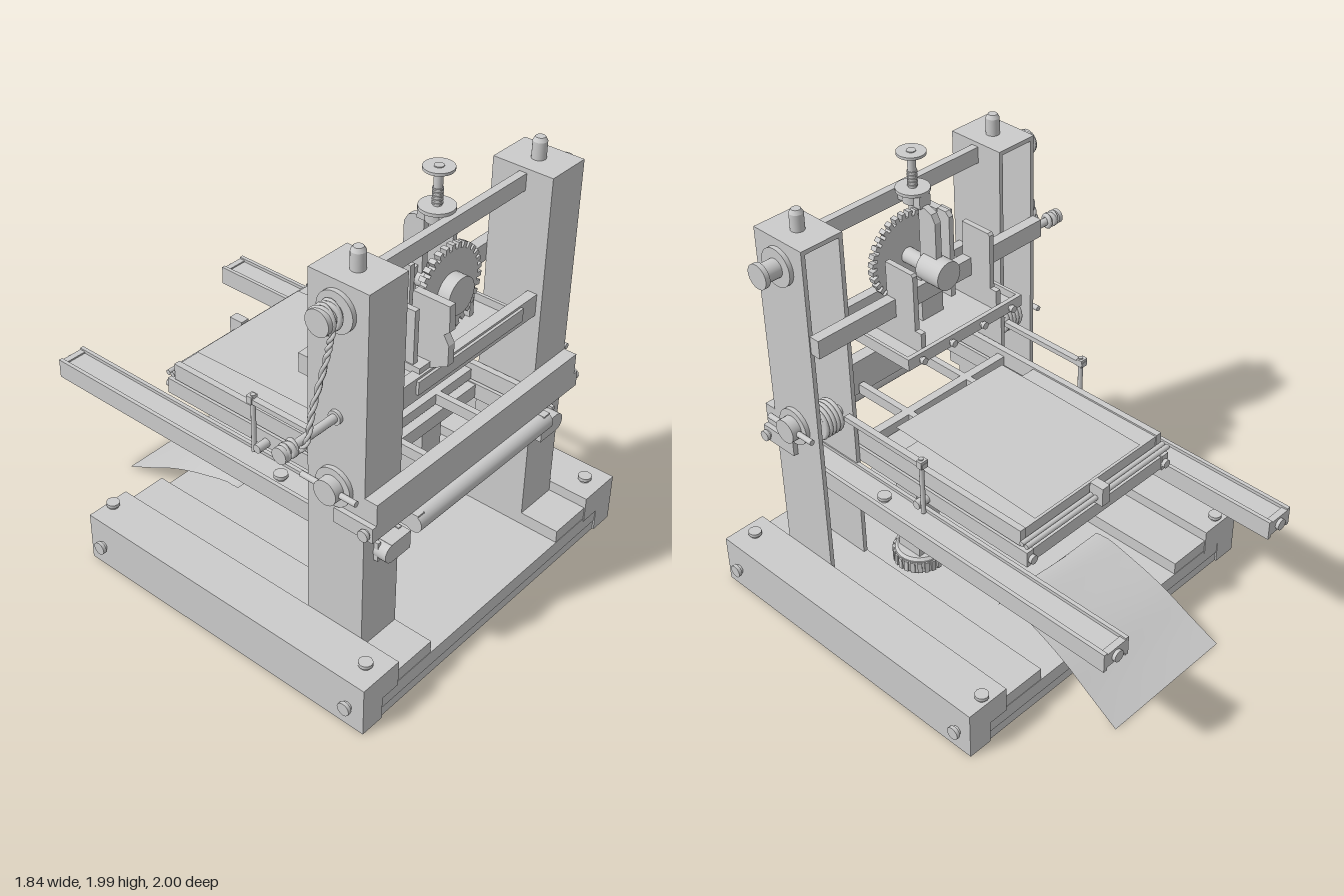
import * as THREE from 'three';

const mat = new THREE.MeshStandardMaterial({ color: 0xcccccc, side: THREE.DoubleSide });
const V = (x, y, z) => new THREE.Vector3(x, y, z);

export function createModel() {
  const root = new THREE.Group();
  root.name = 'press';
  // the machine is symmetric about x = 0.035
  const g = new THREE.Group();
  g.name = 'machine';
  g.position.x = 0.035;
  root.add(g);

  const add = (name, geo) => {
    const m = new THREE.Mesh(geo, mat);
    m.name = name;
    g.add(m);
    return m;
  };
  // box from its extents
  const box = (name, x0, x1, y0, y1, z0, z1) => {
    const m = add(name, new THREE.BoxGeometry(x1 - x0, y1 - y0, z1 - z0));
    m.position.set((x0 + x1) / 2, (y0 + y1) / 2, (z0 + z1) / 2);
    return m;
  };
  // cylinder between two points
  const rod = (name, a, b, r, sides = 24, r2 = r) => {
    const d = b.clone().sub(a);
    const m = add(name, new THREE.CylinderGeometry(r2, r, d.length(), sides));
    m.position.copy(a).add(b).multiplyScalar(0.5);
    m.quaternion.setFromUnitVectors(V(0, 1, 0), d.normalize());
    return m;
  };
  const bolt = (name, p, dir, r = 0.03) => {
    rod(name + 'Shank', p, p.clone().addScaledVector(dir, 0.012), r * 0.7, 16);
    rod(name + 'Head', p.clone().addScaledVector(dir, 0.012), p.clone().addScaledVector(dir, 0.028), r, 12);
  };
  // outline in (z, y), thickened along x
  const sidePlate = (name, x, t, pts) => {
    const s = new THREE.Shape(pts.map(([z, y]) => new THREE.Vector2(-z, y)));
    const m = add(name, new THREE.ExtrudeGeometry(s, { depth: t, bevelEnabled: false }));
    m.rotation.y = Math.PI / 2;
    m.position.x = x - t / 2;
  };

  // Base: thin floor with end boards, hollow underneath
  box('floor', -0.645, 0.645, 0.115, 0.13, -0.52, 0.985);
  box('frontBoard', -0.74, 0.74, 0.06, 0.13, 0.975, 0.997);
  box('frontSkirt', -0.84, 0.84, 0.008, 0.06, 0.975, 0.992);
  box('backBoard', -0.74, 0.74, 0.06, 0.13, -0.532, -0.515);
  box('backSkirt', -0.84, 0.84, 0.008, 0.06, -0.527, -0.515);

  for (const s of [-1, 1]) {
    const mx = (name, a, b, ...r) => box(name, Math.min(s * a, s * b), Math.max(s * a, s * b), ...r);
    const out = V(s, 0, 0);

    // Base beams with bolts
    mx('baseBeam', 0.645, 0.855, 0.115, 0.24, -0.535, 1);
    mx('baseBeamSkirt', 0.84, 0.855, 0.008, 0.115, -0.535, 1);
    mx('baseBeamEnd', 0.74, 0.84, 0.008, 0.115, 0.98, 1);
    mx('baseBeamEnd', 0.74, 0.84, 0.008, 0.115, -0.535, -0.515);
    mx('basePlank', 0.435, 0.645, 0.13, 0.19, -0.53, 0.995);
    for (const [zt, zs] of [[0.92, 0.92], [-0.5, -0.46]]) {
      bolt('baseTopBolt', V(s * 0.75, 0.24, zt), V(0, 1, 0));
      bolt('baseSideBolt', V(s * 0.855, 0.11, zs), out);
    }

    // Column, a channel open at the back
    mx('columnFront', 0.435, 0.645, 0.19, 1.84, 0.79, 0.81);
    mx('columnOuterWall', 0.625, 0.645, 0.19, 1.84, 0.53, 0.79);
    mx('columnInnerWall', 0.435, 0.455, 0.19, 1.84, 0.53, 0.79);
    mx('columnCap', 0.455, 0.625, 1.82, 1.84, 0.53, 0.79);
    rod('columnKnob', V(s * 0.54, 1.84, 0.67), V(s * 0.54, 1.915, 0.67), 0.03);
    rod('columnKnobTip', V(s * 0.54, 1.915, 0.67), V(s * 0.54, 1.932, 0.67), 0.03, 24, 0.02);

    // Spool wheels on the column sides
    for (const y of [1.72, 0.94]) {
      rod('spoolFlange', V(s * 0.645, y, 0.67), V(s * 0.665, y, 0.67), 0.085, 32);
    }
    rod('upperSpool', V(s * 0.66, 1.72, 0.67), V(s * 0.745, 1.72, 0.67), 0.042);
    rod('upperSpoolRim', V(s * 0.735, 1.72, 0.67), V(s * 0.757, 1.72, 0.67), 0.055);
    rod('crankHub', V(s * 0.66, 0.94, 0.67), V(s * 0.71, 0.94, 0.67), 0.055);
    rod('crankBar', V(s * 0.68, 0.94, 0.53), V(s * 0.68, 0.94, 0.8), 0.013, 12);
    // ribbed reel in the channel
    rod('reelShaft', V(s * 0.455, 0.94, 0.62), V(s * 0.625, 0.94, 0.62), 0.025);
    rod('reel', V(s * 0.49, 0.94, 0.62), V(s * 0.59, 0.94, 0.62), 0.07, 20);
    for (let i = 0; i < 5; i++) {
      const t = add('reelRib', new THREE.TorusGeometry(0.07, 0.01, 8, 24));
      t.rotation.y = Math.PI / 2;
      t.position.set(s * (0.5 + i * 0.02), 0.94, 0.62);
    }

    // Apron end bracket
    mx('apronBracket', 0.645, 0.668, 0.78, 0.85, 0.68, 0.87);
    bolt('apronBolt', V(s * 0.665, 0.815, 0.84), out, 0.025);

    // Long rail, a shallow channel with end blocks
    mx('railCore', 0.46, 0.565, 0.62, 0.685, -0.97, 0.83);
    mx('railOuterLip', 0.565, 0.583, 0.61, 0.70, -0.985, 0.83);
    mx('railInnerLip', 0.442, 0.46, 0.61, 0.70, -0.985, 0.83);
    mx('railNose', 0.435, 0.55, 0.61, 0.695, 0.81, 0.87);
    rod('railNoseRound', V(s * 0.545, 0.652, 0.81), V(s * 0.545, 0.652, 0.87), 0.042);
    mx('railEndBlock', 0.46, 0.565, 0.625, 0.692, -0.985, -0.955);
    rod('railEndBolt', V(s * 0.512, 0.655, -0.98), V(s * 0.512, 0.655, -1), 0.026, 12);
    bolt('railTopBolt', V(s * 0.525, 0.685, 0.28), V(0, 1, 0));

    // Pull arm with a hanging link
    mx('pullArm', 0.465, 0.495, 0.945, 0.968, 0.07, 0.54);
    rod('armLink', V(s * 0.48, 0.7, 0.092), V(s * 0.48, 0.985, 0.092), 0.011, 10);
    mx('armHead', 0.462, 0.5, 0.945, 0.98, 0.072, 0.1);
    rod('linkFoot', V(s * 0.42, 0.73, 0.12), V(s * 0.495, 0.73, 0.12), 0.02, 16);

    // Bed side rails
    mx('bedLowerRail', 0.395, 0.435, 0.705, 0.78, -0.45, 0.9);
    mx('bedUpperRail', 0.4, 0.43, 0.79, 0.868, -0.41, 0.8);
    mx('bedBar', 0.16, 0.19, 0.79, 0.84, 0.2, 0.8);
    bolt('bedEndBolt', V(s * 0.41, 0.74, -0.44), V(0, 0, -1), 0.02);

    // Support leg with a ribbed collar
    mx('leg', 0.2, 0.33, 0.13, 0.71, 0.3, 0.43);
    rod('legCollar', V(s * 0.265, 0.15, 0.365), V(s * 0.265, 0.21, 0.365), 0.117, 40);
    rod('legCollarTop', V(s * 0.265, 0.21, 0.365), V(s * 0.265, 0.222, 0.365), 0.112, 40, 0.1);
    for (let i = 0; i < 24; i++) {
      const a = (i / 24) * Math.PI * 2;
      const r = box('collarRib', -0.01, 0.01, 0.152, 0.207, -0.008, 0.008);
      r.position.x = s * 0.265 + Math.sin(a) * 0.116;
      r.position.z = 0.365 + Math.cos(a) * 0.116;
      r.rotation.y = a;
    }

    // Carriage shelf side wall
    mx('shelfSide', 0.315, 0.33, 1.23, 1.285, 0.31, 0.75);
  }

  // Cross beams between the columns
  box('topBar', -0.435, 0.435, 1.745, 1.82, 0.655, 0.69);
  box('rearBar', -0.64, 0.64, 1.365, 1.45, 0.48, 0.53);
  box('carriageBeam', -0.435, 0.435, 1.21, 1.31, 0.74, 0.785);
  box('carriageBeamPanel', -0.33, 0.33, 1.24, 1.3, 0.78, 0.797);
  box('carriageShelf', -0.33, 0.33, 1.23, 1.25, 0.31, 0.75);
  box('shelfRearEdge', -0.33, 0.33, 1.23, 1.285, 0.305, 0.325);
  for (const x of [-0.26, -0.09, 0.09, 0.26]) bolt('shelfBolt', V(x, 1.255, 0.308), V(0, 0, -1), 0.016);
  box('apron', -0.645, 0.645, 0.78, 0.95, 0.81, 0.87);
  rod('frontRoller', V(-0.435, 0.737, 0.878), V(0.435, 0.737, 0.878), 0.042);

  // Carriage plates
  const platePts = [[0.335, 1.25], [0.335, 1.345], [0.37, 1.345], [0.37, 1.6], [0.38, 1.61], [0.53, 1.61], [0.53, 1.42], [0.63, 1.36], [0.63, 1.25]];
  sidePlate('carriagePlate', -0.22, 0.025, platePts);
  sidePlate('carriagePlate', 0.215, 0.025, platePts);
  sidePlate('frontLobe', -0.22, 0.035, [[0.68, 1.31], [0.68, 1.61], [0.85, 1.61], [0.855, 1.5], [0.83, 1.48], [0.855, 1.44], [0.855, 1.35], [0.78, 1.31]]);
  sidePlate('innerPlate', -0.165, 0.025, [[0.55, 1.25], [0.55, 1.64], [0.57, 1.66], [0.62, 1.66], [0.62, 1.25]]);
  box('outerPost', -0.295, -0.27, 1.31, 1.57, 0.68, 0.74);
  box('postFoot', -0.3, -0.145, 1.3, 1.335, 0.64, 0.775);

  // Gear wheel with square teeth
  const gear = new THREE.Shape();
  const teeth = 32;
  for (let i = 0; i < teeth; i++) {
    [[0, 0.174], [0.38, 0.174], [0.42, 0.198], [0.96, 0.198]].forEach(([f, r], k) => {
      const a = ((i + f) / teeth) * Math.PI * 2;
      gear[i + k ? 'lineTo' : 'moveTo'](Math.cos(a) * r, Math.sin(a) * r);
    });
  }
  gear.closePath();
  add('gear', new THREE.ExtrudeGeometry(gear, { depth: 0.03, bevelEnabled: false })).position.set(0, 1.49, 0.645);
  rod('gearHub', V(0, 1.49, 0.67), V(0, 1.49, 0.73), 0.08, 32);
  rod('motor', V(0, 1.49, 0.4), V(0, 1.49, 0.53), 0.065, 32);
  rod('motorShaft', V(0, 1.49, 0.5), V(0, 1.49, 0.65), 0.035);
  box('motorMount', -0.06, 0.06, 1.25, 1.46, 0.505, 0.53);
  sidePlate('motorArm', 0, 0.032, [[0.455, 1.5], [0.455, 1.72], [0.475, 1.755], [0.5, 1.765], [0.55, 1.78], [0.55, 1.5]]);

  // Pressure screw: wheel, thread, nut and lower discs
  const disc = (name, y, r, h = 0.012) => rod(name, V(0, y, 0.595), V(0, y + h, 0.595), r, 32);
  disc('upperScrew', 1.76, 0.018, 0.23);
  disc('screwWheel', 1.984, 0.062);
  disc('screwWheelHub', 1.996, 0.02, 0.004);
  for (let i = 0; i < 5; i++) disc('screwThread', 1.842 + i * 0.015, 0.022, 0.006);
  disc('screwNut', 1.77, 0.045, 0.06);
  disc('screwNutFlange', 1.82, 0.073, 0.014);
  box('screwNutArm', -0.03, 0.03, 1.765, 1.82, 0.525, 0.66);
  disc('lowerScrew', 1.05, 0.018, 0.25);
  disc('lowerDisc', 1.13, 0.068);
  disc('lowerDisc', 1.06, 0.068);
  disc('lowerSleeve', 1.05, 0.025, 0.17);

  // Sliding bed
  box('bedLower', -0.4, 0.4, 0.71, 0.775, -0.445, 0.55);
  box('bedUpper', -0.4, 0.4, 0.79, 0.86, -0.405, 0.3);
  box('bedSpacer', -0.38, 0.38, 0.77, 0.795, -0.38, 0.3);
  box('bedCrossBar', -0.4, 0.4, 0.79, 0.84, 0.48, 0.52);
  for (const z of [-0.42, -0.445]) rod('bedEndRod', V(-0.435, 0.81, z), V(0.435, 0.81, z), 0.012, 10);
  box('bedLatch', -0.022, 0.022, 0.78, 0.87, -0.48, -0.41);

  // Sheets: a grid bent along a profile of [z, y], one edge lifted by a rule
  const sheet = (name, half, pts, lift) => {
    const path = new THREE.CatmullRomCurve3(pts.map(([z, y]) => V(0, y, z)));
    const geo = new THREE.PlaneGeometry(1, 1, 8, 20);
    const p = geo.attributes.position;
    for (let i = 0; i < p.count; i++) {
      const u = p.getX(i) * 2, t = p.getY(i) + 0.5, c = path.getPoint(t);
      p.setXYZ(i, u * half(t), c.y + lift(u, t), c.z);
    }
    geo.computeVertexNormals();
    return add(name, geo);
  };
  sheet('bedSheet', () => 0.32, [[0.4, 0.89], [0.2, 0.886], [-0.1, 0.878], [-0.4, 0.868]], (u, t) => 0.006 * u * (1 - t)).position.x = 0.015;
  sheet('fallenSheet', t => 0.315 + 0.02 * t, [[-0.18, 0.245], [-0.21, 0.28], [-0.38, 0.24], [-0.56, 0.172], [-0.72, 0.085], [-0.865, 0.008]],
    (u, t) => 0.045 * u * (1 - t) * Math.min(1, t * 5)).position.x = 0.01;

  // Rope peg, spool windings and twisted rope
  rod('ropePeg', V(-0.645, 1.26, 0.67), V(-0.93, 1.26, 0.67), 0.018, 16);
  rod('pegFlange', V(-0.64, 1.26, 0.67), V(-0.66, 1.26, 0.67), 0.03);
  rod('pegEnd', V(-0.935, 1.26, 0.67), V(-0.955, 1.26, 0.67), 0.034);
  const winding = (x, y, r, tilt) => {
    const t = add('ropeWinding', new THREE.TorusGeometry(r, 0.011, 8, 28));
    t.rotation.set(0, Math.PI / 2 + tilt, tilt);
    t.position.set(x, y, 0.67);
  };
  for (let i = 0; i < 4; i++) winding(-0.68 - i * 0.018, 1.72, 0.05, 0.2 * (i % 2 ? 1 : -1));
  for (let i = 0; i < 3; i++) winding(-0.885 - i * 0.02, 1.26, 0.026, 0.25 * (i % 2 ? 1 : -1));
  const line = new THREE.CatmullRomCurve3([V(-0.725, 1.69, 0.715), V(-0.75, 1.59, 0.71), V(-0.81, 1.4, 0.7), V(-0.855, 1.26, 0.7), V(-0.9, 1.235, 0.67)]);
  for (const phase of [0, Math.PI]) {
    const pts = [];
    for (let i = 0; i <= 60; i++) {
      const a = phase + i * 0.7;
      pts.push(line.getPoint(i / 60).add(V(Math.cos(a) * 0.006, 0, Math.sin(a) * 0.006)));
    }
    add('rope', new THREE.TubeGeometry(new THREE.CatmullRomCurve3(pts), 180, 0.008, 6));
  }
  return root;
}
